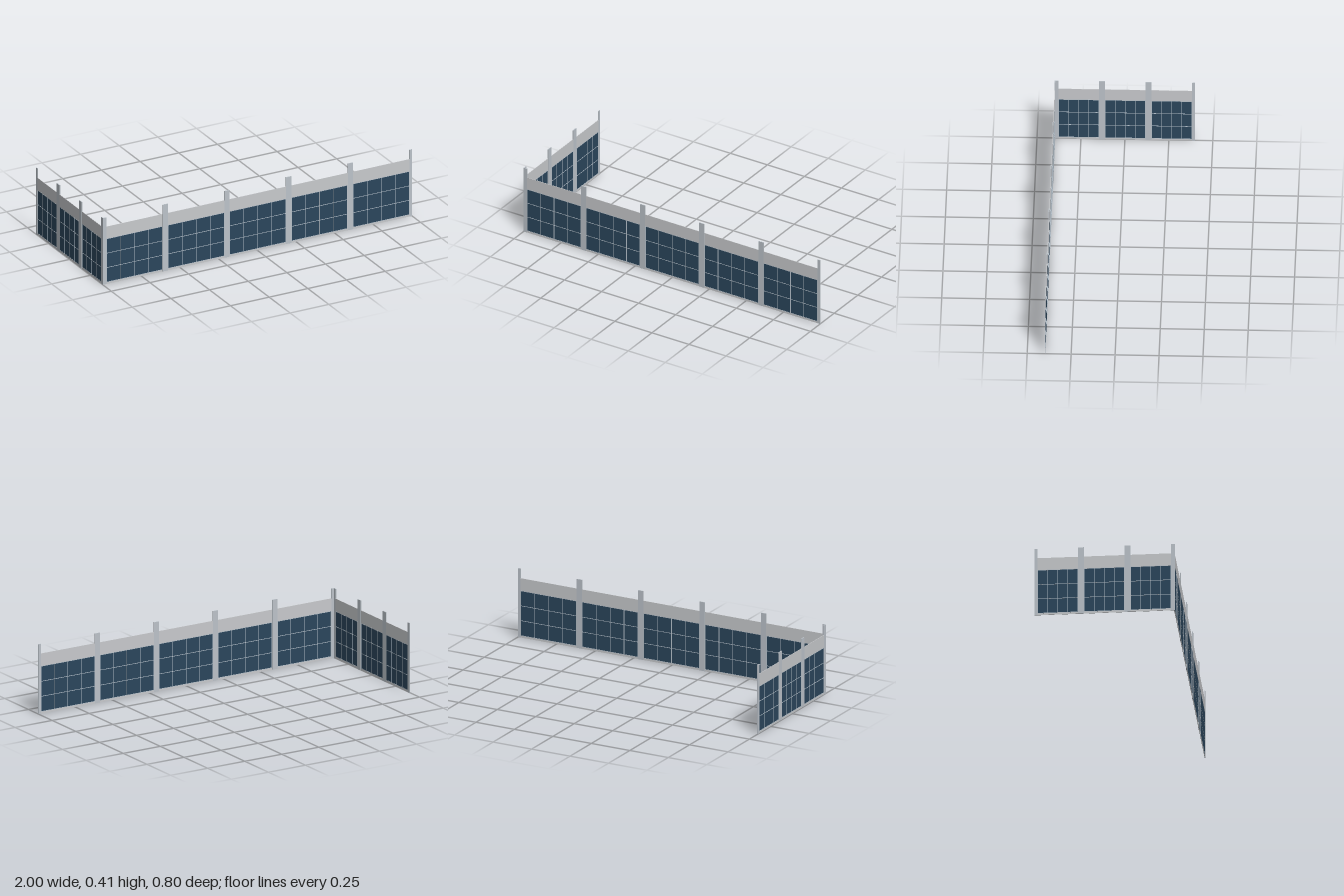
import * as THREE from 'three';

const wallMat = new THREE.MeshStandardMaterial({ color: 0xc8cacd });
const postMat = new THREE.MeshStandardMaterial({ color: 0xbcc3ca });
const glassMat = new THREE.MeshStandardMaterial({ color: 0x2b465c });
const barMat = new THREE.MeshStandardMaterial({ color: 0xb4bfc9 });

const WALL_TOP = 0.357, POST_TOP = 0.415;
const WIN_LOW = 0.012, WIN_HIGH = 0.281;
const POST_W = 0.034, POST_T = 0.005, WALL_T = 0.003, BAR = 0.003;
const COLS = 4, ROWS = 3;

// Box spanning u0..u1 along the wall and y0..y1 in height, centred on its plane
function slab(parent, name, mat, u0, u1, y0, y1, thick) {
  const mesh = new THREE.Mesh(new THREE.BoxGeometry(u1 - u0, y1 - y0, thick), mat);
  mesh.position.set((u0 + u1) / 2, (y0 + y1) / 2, 0);
  mesh.name = name;
  parent.add(mesh);
}

function rectangle(path, u0, u1, y0, y1) {
  path.moveTo(u0, y0);
  path.lineTo(u1, y0);
  path.lineTo(u1, y1);
  path.lineTo(u0, y1);
  path.closePath();
  return path;
}

// Glazed pane with a border and a grid of bars
function addWindow(parent, u0, u1) {
  const win = new THREE.Group();
  win.name = 'window';
  slab(win, 'glass', glassMat, u0, u1, WIN_LOW, WIN_HIGH, 0.0016);
  for (let c = 0; c <= COLS; c++) {
    const u = u0 + (u1 - u0) * c / COLS;
    slab(win, 'verticalBar', barMat, u - BAR / 2, u + BAR / 2, WIN_LOW, WIN_HIGH, 0.0034);
  }
  for (let r = 0; r <= ROWS; r++) {
    const y = WIN_LOW + (WIN_HIGH - WIN_LOW) * r / ROWS;
    slab(win, 'horizontalBar', barMat, u0, u1, y - BAR / 2, y + BAR / 2, 0.0038);
  }
  parent.add(win);
}

// Straight wall running along +x from 0 to length
function makeWall(name, length, bays) {
  const wall = new THREE.Group();
  wall.name = name;
  const first = 0.005, step = (length - first) / bays;
  const shape = rectangle(new THREE.Shape(), 0.005, length - 0.002, 0, WALL_TOP);

  for (let i = 0; i <= bays; i++) {
    const u = first + step * i;
    // End posts are cut flush with the ends of the wall
    slab(wall, 'post', postMat, Math.max(0, u - POST_W / 2), Math.min(length, u + POST_W / 2),
      0, POST_TOP, POST_T);
    if (i === bays) continue;
    const a = u + POST_W / 2 + 0.002, b = u + step - POST_W / 2 - 0.002;
    shape.holes.push(rectangle(new THREE.Path(), a, b, WIN_LOW, WIN_HIGH));
    addWindow(wall, a, b);
  }

  // Wall sheet with window openings
  const geo = new THREE.ExtrudeGeometry(shape, { depth: WALL_T, bevelEnabled: false });
  geo.translate(0, 0, -WALL_T / 2);
  const sheet = new THREE.Mesh(geo, wallMat);
  sheet.name = 'wallSheet';
  wall.add(sheet);
  return wall;
}

export function createModel() {
  const model = new THREE.Group();
  model.name = 'cornerGlazedWall';

  const front = makeWall('frontWall', 2, 5);
  front.position.set(-1, 0, 0.4 - POST_T / 2);
  model.add(front);

  // Return wall running back from the front corner
  const side = makeWall('sideWall', 0.8, 3);
  side.rotation.y = Math.PI / 2;
  side.position.set(-1 + POST_T / 2, 0, 0.4);
  model.add(side);

  return model;
}
